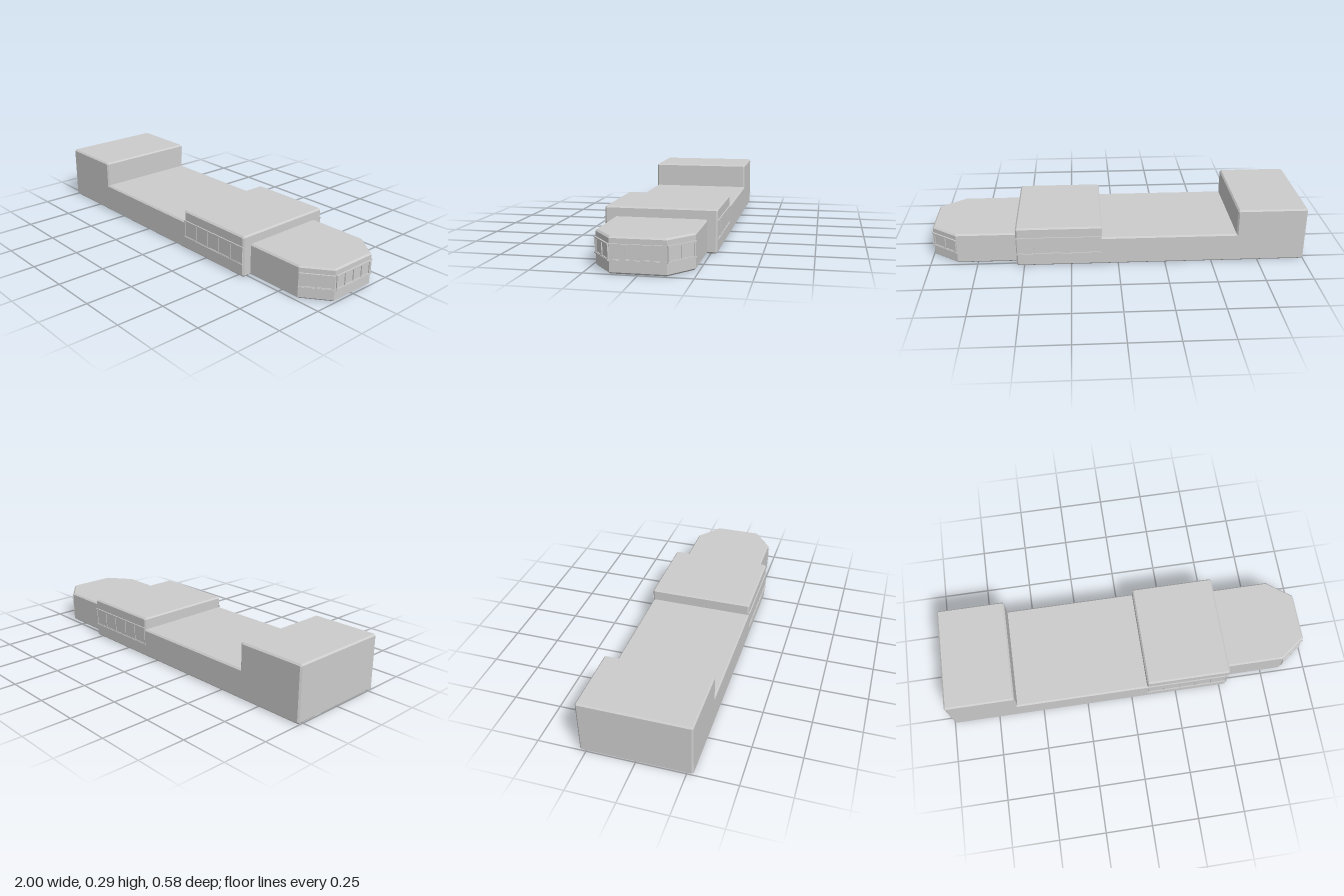
import * as THREE from 'three';

const material = new THREE.MeshStandardMaterial({ color: 0xcccccc, flatShading: true });
const BEVEL = 0.008;

function makeMesh(name, geometry) {
  const mesh = new THREE.Mesh(geometry, material);
  mesh.name = name;
  return mesh;
}

// Solid of a given depth whose end edges are chamfered inside the outline
function chamferedSolid(points, depth, bevel = BEVEL) {
  const shape = new THREE.Shape(points.map(([x, y]) => new THREE.Vector2(x, y)));
  const geometry = new THREE.ExtrudeGeometry(shape, {
    depth: depth - 2 * bevel, bevelEnabled: true, bevelSegments: 1,
    bevelSize: bevel, bevelThickness: bevel, bevelOffset: -bevel,
  });
  return geometry.translate(0, 0, bevel);
}

function rectangle(path, x0, y0, x1, y1) {
  path.moveTo(x0, y0);
  path.lineTo(x1, y0);
  path.lineTo(x1, y1);
  path.lineTo(x0, y1);
  path.closePath();
  return path;
}

// Row of panes facing +z: mullion frame with holes between two rails
function windowBand(name, width, height, panes, bar, depth, rail) {
  const band = new THREE.Group();
  band.name = name;
  const frame = rectangle(new THREE.Shape(), -width / 2, -height / 2, width / 2, height / 2);
  const pitch = (width - bar) / panes;
  for (let i = 0; i < panes; i++) {
    const x = -width / 2 + bar + i * pitch;
    frame.holes.push(rectangle(new THREE.Path(), x, -height / 2 + 0.003, x + pitch - bar, height / 2 - 0.003));
  }
  band.add(makeMesh('windowFrame', new THREE.ExtrudeGeometry(frame, { depth, bevelEnabled: false })));
  for (const side of [-1, 1]) {
    const bead = makeMesh(side < 0 ? 'windowSill' : 'windowHeader',
      new THREE.BoxGeometry(width + 0.006, rail, depth + 0.003));
    bead.position.set(0, side * (height + rail) / 2, (depth + 0.003) / 2);
    band.add(bead);
  }
  return band;
}

export function createModel() {
  const model = new THREE.Group();
  model.name = 'building';

  // Long hall with a tall end block and a raised middle block
  const c = BEVEL;
  const profile = [
    [-1 + c, 0], [0.54 - c, 0], [0.54, c], [0.54, 0.22 - c], [0.54 - c, 0.22],
    [0.085 + c, 0.22], [0.085, 0.22 - c], [0.085, 0.157], [-0.63, 0.157],
    [-0.63, 0.295 - c], [-0.63 - c, 0.295], [-1 + c, 0.295], [-1, 0.295 - c], [-1, c],
  ];
  const hall = makeMesh('mainHall', chamferedSolid(profile, 0.564));
  hall.position.z = -0.282;
  model.add(hall);

  // Narrower wing with a faceted end
  const corner = [0.857, 0.232], tip = [0.992, 0.13];
  const plan = [
    [0.5, -corner[1]], [corner[0], -corner[1]], [tip[0], -tip[1]],
    [tip[0], tip[1]], corner, [0.5, corner[1]],
  ];
  const wing = makeMesh('facetedWing', chamferedSolid(plan, 0.169).rotateX(-Math.PI / 2));
  model.add(wing);

  // Window bands on both sides of the raised block
  for (const side of [1, -1]) {
    const band = windowBand('sideWindows', 0.444, 0.088, 5, 0.006, 0.004, 0.006);
    band.position.set(0.3125, 0.116, side * 0.281);
    band.rotation.y = side > 0 ? 0 : Math.PI;
    model.add(band);
  }

  // Window bands around the faceted end
  const endBand = windowBand('endWindows', 0.244, 0.066, 4, 0.006, 0.005, 0.006);
  endBand.position.set(tip[0], 0.098, 0);
  endBand.rotation.y = Math.PI / 2;
  model.add(endBand);

  const dx = tip[0] - corner[0], dz = corner[1] - tip[1];
  const angle = Math.atan2(dz, dx);
  for (const side of [1, -1]) {
    const band = windowBand('angledWindows', Math.hypot(dx, dz) - 0.006, 0.066, 2, 0.009, 0.005, 0.006);
    band.position.set((corner[0] + tip[0]) / 2, 0.098, side * (corner[1] + tip[1]) / 2);
    band.rotation.y = side > 0 ? angle : Math.PI - angle;
    model.add(band);
  }

  return model;
}
